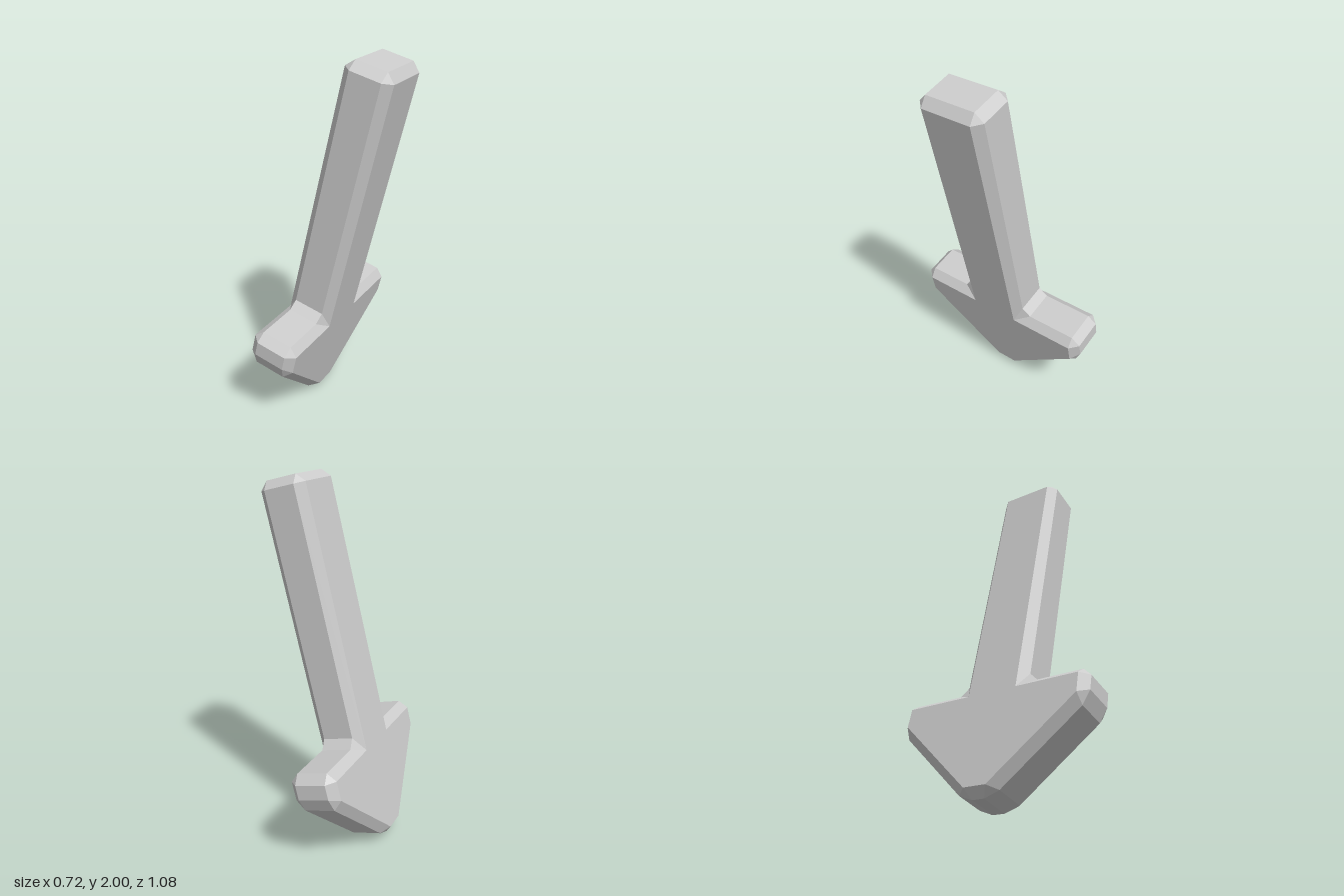
import * as THREE from 'three';

const BEVEL = 0.045;   // chamfer on every edge
const HALF = 0.13;     // half thickness of the slab
const TILT = THREE.MathUtils.degToRad(14);

// Arrow outline as (z, y), counterclockwise seen from -x
const OUTLINE = [
  [-0.068, -0.037], [0.09, -0.037],                     // blunt tip
  [0.542, 0.383], [0.542, 0.553], [0.199, 0.553],       // front barb
  [0.199, 1.979], [-0.171, 1.979],                      // shaft end
  [-0.171, 0.553], [-0.541, 0.553], [-0.541, 0.383],    // rear barb
].map(([z, y]) => new THREE.Vector2(z, y));

// Slab with chamfered edges and cut corners
function chamferedSlab(outline, half, bevel) {
  const n = outline.length;
  const corners = outline.map((q, i) => {
    const prev = q.clone().sub(outline[(i + n - 1) % n]).normalize();
    const next = outline[(i + 1) % n].clone().sub(q).normalize();
    const n1 = new THREE.Vector2(-prev.y, prev.x); // inward normals
    const n2 = new THREE.Vector2(-next.y, next.x);
    const face = n1.clone().add(n2).multiplyScalar(bevel / (1 + n1.dot(n2))).add(q);
    return {
      face,
      a: q.clone().addScaledVector(prev, -bevel),
      b: q.clone().addScaledVector(next, bevel),
    };
  });

  const positions = [];
  const at = (p, x) => [x, p.y, p.x];
  const polygon = (...pts) => {
    for (let i = 1; i < pts.length - 1; i++) positions.push(...pts[0], ...pts[i], ...pts[i + 1]);
  };
  const inner = half - bevel;

  // Broad faces, chamfers and corner triangles on both sides
  const faces = THREE.ShapeUtils.triangulateShape(corners.map((c) => c.face), []);
  for (const side of [-1, 1]) {
    const add = (...pts) => polygon(...(side < 0 ? pts : pts.reverse()));
    for (const tri of faces) add(...tri.map((k) => at(corners[k].face, side * half)));
    corners.forEach((c, i) => {
      const d = corners[(i + 1) % n];
      add(at(c.face, side * half), at(c.a, side * inner), at(c.b, side * inner));
      add(at(c.b, side * inner), at(d.a, side * inner), at(d.face, side * half), at(c.face, side * half));
    });
  }

  // Rim around the outline
  const rim = corners.flatMap((c) => [c.a, c.b]);
  rim.forEach((p, i) => {
    const q = rim[(i + 1) % rim.length];
    polygon(at(p, -inner), at(p, inner), at(q, inner), at(q, -inner));
  });

  const geometry = new THREE.BufferGeometry();
  geometry.setAttribute('position', new THREE.Float32BufferAttribute(positions, 3));
  geometry.computeVertexNormals();
  return geometry;
}

export function createModel() {
  const group = new THREE.Group();
  group.name = 'leaningArrow';

  const material = new THREE.MeshStandardMaterial({ color: 0xcccccc, flatShading: true });
  const arrow = new THREE.Mesh(chamferedSlab(OUTLINE, HALF, BEVEL).translate(-0.247, 0, 0), material);
  arrow.name = 'arrow';
  arrow.rotation.z = -TILT;
  // Rest the tip on the ground
  arrow.position.y = -new THREE.Box3().setFromObject(arrow, true).min.y;
  group.add(arrow);
  return group;
}
